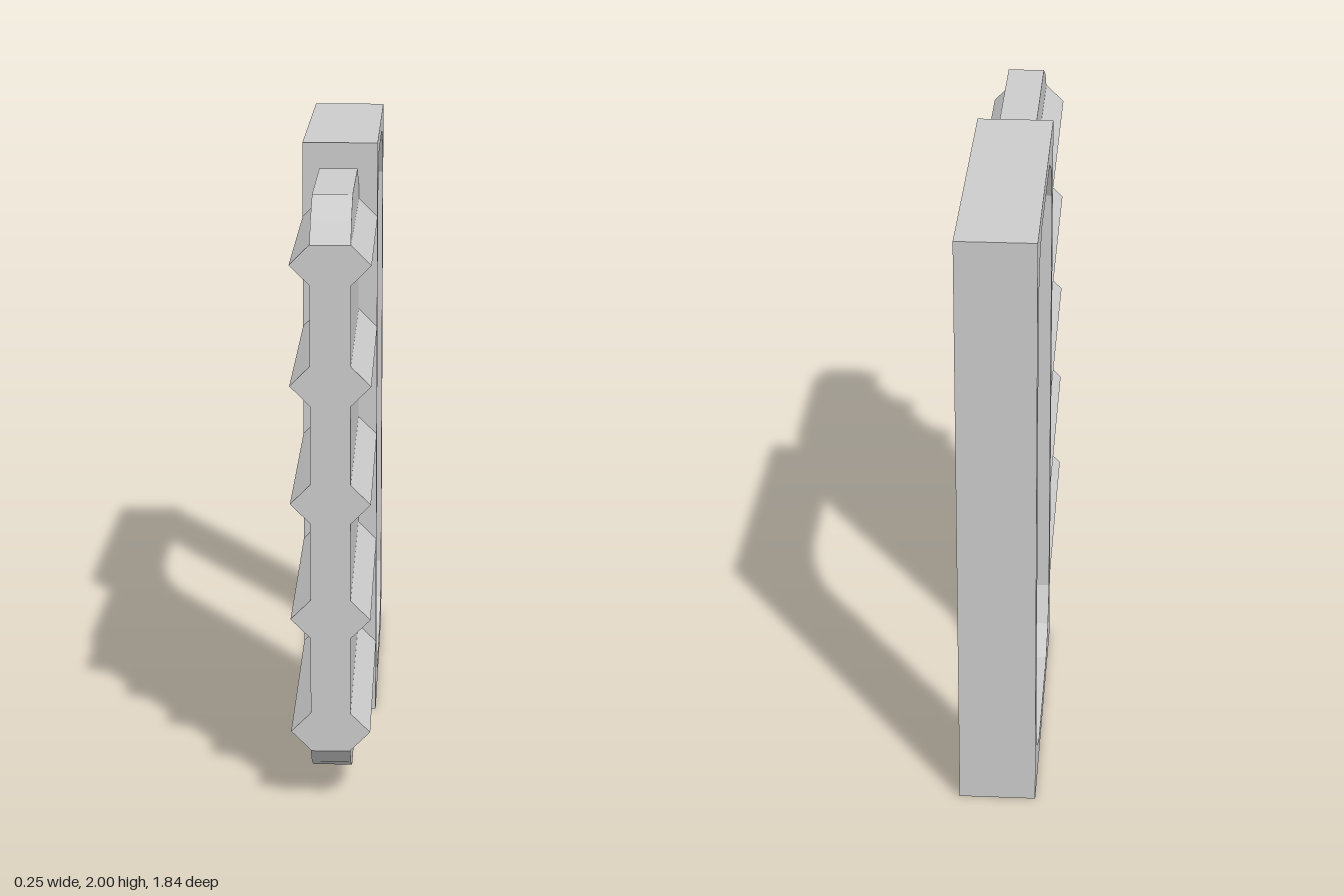
import * as THREE from 'three';

const material = new THREE.MeshStandardMaterial({ color: 0xcccccc, flatShading: true });
const toPoints = (list) => list.map(([a, b]) => new THREE.Vector2(a, b));

// Side profile drawn as (z, y), extruded across x and centred on x = 0
function sidePanel(name, outline, width, hole) {
  const shape = new THREE.Shape(toPoints(outline));
  if (hole) shape.holes.push(new THREE.Path(toPoints(hole)));
  const geometry = new THREE.ExtrudeGeometry(shape, { depth: width, bevelEnabled: false });
  geometry.translate(0, 0, -width / 2).rotateY(-Math.PI / 2);
  const mesh = new THREE.Mesh(geometry, material);
  mesh.name = name;
  return mesh;
}

// Upper half of a profile followed by its mirror image about y = 1
const mirrorY = (half) => [...half, ...half.slice().reverse().map(([z, y]) => [z, 2 - y])];

export function createModel() {
  const group = new THREE.Group();
  group.name = 'framedHandle';

  // Rectangular frame with a chamfered opening
  const outer = mirrorY([[0.08, 2], [-0.92, 2]]);
  const opening = mirrorY([
    [0.02, 1.757], [-0.042, 1.88], [-0.167, 1.942],
    [-0.667, 1.942], [-0.793, 1.88], [-0.855, 1.757],
  ]);
  group.add(sidePanel('frame', outer, 0.25, opening));

  // Thin plate with cut corners, butted against the frame
  const plate = mirrorY([
    [0.92, 1.813], [0.857, 1.875], [0.733, 1.937],
    [0.23, 1.937], [0.105, 1.875], [0.08, 1.85],
  ]);
  group.add(sidePanel('plate', plate, 0.125));

  // Five triangular ridges on each face of the plate
  for (const side of [1, -1]) {
    const section = new THREE.Shape(toPoints([
      [side * 0.0625, -0.0625], [side * 0.125, 0], [side * 0.0625, 0.0625],
    ]));
    const geometry = new THREE.ExtrudeGeometry(section, { depth: 0.84, bevelEnabled: false });
    for (let i = 0; i < 5; i++) {
      const ridge = new THREE.Mesh(geometry, material);
      ridge.name = `${side > 0 ? 'left' : 'right'}Ridge${i + 1}`;
      ridge.position.set(0, 0.252 + i * 0.375, 0.08);
      group.add(ridge);
    }
  }
  return group;
}
